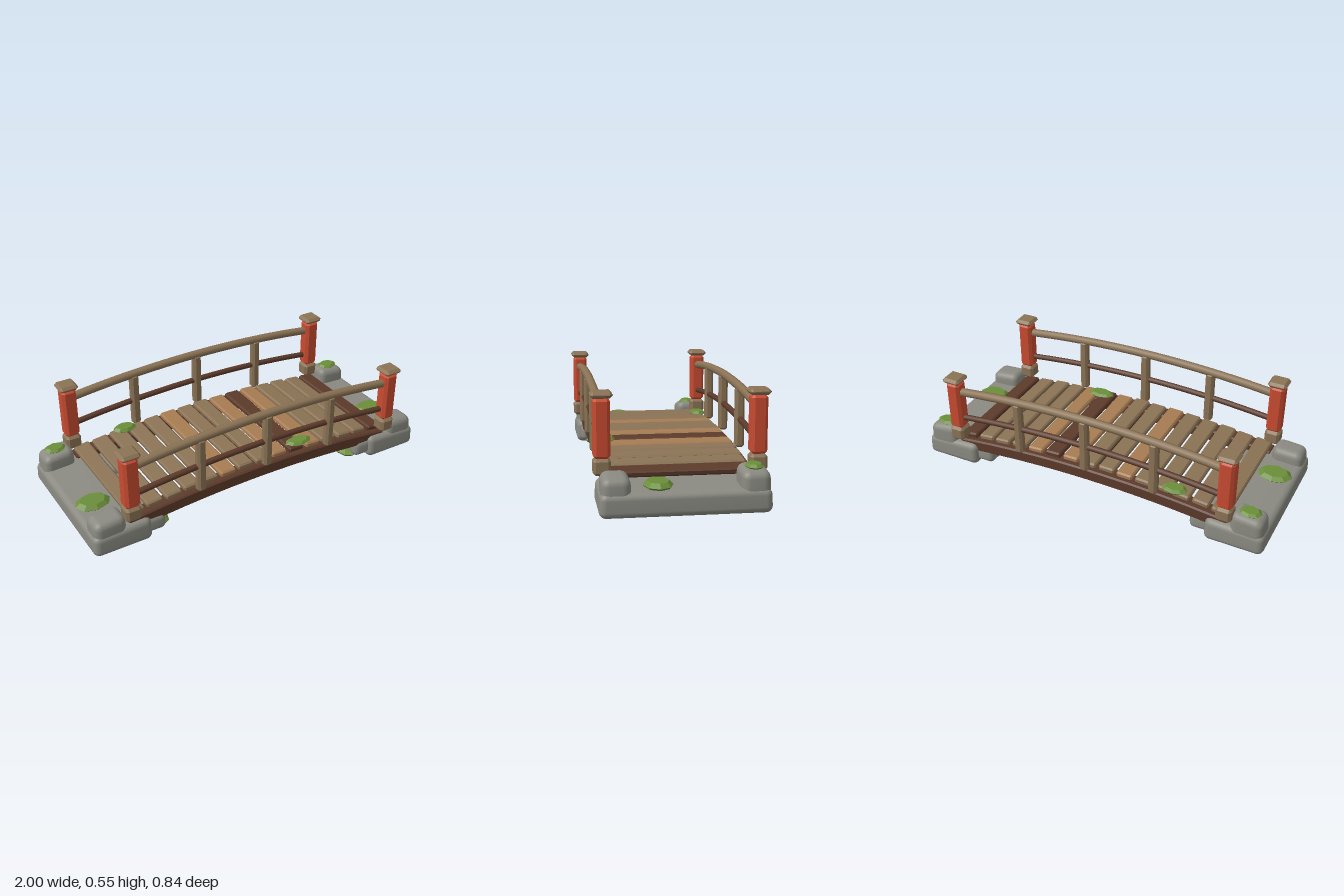
import * as THREE from 'three';
import { mergeVertices } from 'three/addons/utils/BufferGeometryUtils.js';
import { RoundedBoxGeometry } from 'three/addons/geometries/RoundedBoxGeometry.js';
import { ConvexGeometry } from 'three/addons/geometries/ConvexGeometry.js';

const material = (name, color) => {
  const m = new THREE.MeshStandardMaterial({ color });
  m.name = name;
  return m;
};

// Height of the shared arch curve, given its crown height
const arch = (x, crown) => crown - 0.08 * x * x;

// Box with every edge cut at 45 degrees
function chamferBox(w, h, d, c) {
  const points = [];
  for (const sx of [-1, 1]) for (const sy of [-1, 1]) for (const sz of [-1, 1]) {
    const [x, y, z] = [w / 2, h / 2, d / 2];
    points.push(
      new THREE.Vector3(sx * x, sy * (y - c), sz * (z - c)),
      new THREE.Vector3(sx * (x - c), sy * y, sz * (z - c)),
      new THREE.Vector3(sx * (x - c), sy * (y - c), sz * z));
  }
  return new ConvexGeometry(points);
}

// Smooth, slightly uneven stone block; slope lowers the top toward +x
function stoneBlock(w, h, d, r, slope, wobble) {
  let g = new RoundedBoxGeometry(w, h, d, 3, r);
  const p = g.attributes.position;
  for (let i = 0; i < p.count; i++) {
    const x = p.getX(i), y = p.getY(i), z = p.getZ(i);
    const up = y / h + 0.5;
    p.setXYZ(i, x * (1 - wobble * up), y - slope * up * (x / w + 0.5), z * (1 - wobble * up * 0.6));
  }
  g.deleteAttribute('normal');
  g.deleteAttribute('uv');
  g = mergeVertices(g, 1e-4);
  g.computeVertexNormals();
  return g;
}

// Low faceted pad of unit radius
function mossPad() {
  const profile = [[0, -1], [0.75, -1], [1, -0.1], [0.72, 1], [0, 1]].map(([x, y]) => new THREE.Vector2(x, y));
  const g = new THREE.LatheGeometry(profile, 8).toNonIndexed();
  g.computeVertexNormals();
  return g;
}

// Curved rail following the arch
function archRail(crown, radius, z) {
  const points = [];
  for (let i = 0; i <= 8; i++) {
    const x = -0.78 + (1.56 * i) / 8;
    points.push(new THREE.Vector3(x, arch(x, crown), z));
  }
  return new THREE.TubeGeometry(new THREE.CatmullRomCurve3(points), 24, radius, 8);
}

// Curved side beam
function archBeam(bottom, top, depth) {
  const shape = new THREE.Shape();
  const n = 16, bevel = 0.008;
  for (let i = 0; i <= n; i++) {
    const x = -0.79 + (1.58 * i) / n;
    if (i === 0) shape.moveTo(x, arch(x, bottom + bevel));
    else shape.lineTo(x, arch(x, bottom + bevel));
  }
  for (let i = n; i >= 0; i--) {
    const x = -0.79 + (1.58 * i) / n;
    shape.lineTo(x, arch(x, top - bevel));
  }
  const g = new THREE.ExtrudeGeometry(shape, {
    depth: depth - 2 * bevel, bevelEnabled: true, bevelSize: bevel, bevelThickness: bevel, bevelSegments: 1,
  });
  g.translate(0, 0, -depth / 2 + bevel);
  return g;
}

export function createModel() {
  const model = new THREE.Group();
  model.name = 'archedFootbridge';

  const wood = material('weathered wood', 0x8b7355);
  const tan = material('tan wood', 0xa67c52);
  const dark = material('dark wood', 0x5c3a2a);
  const red = material('red paint', 0xc84b31);
  const stone = material('grey stone', 0x8a8a82);
  const moss = material('green moss', 0x6b8e3a);

  const add = (name, geometry, mat, x, y, z) => {
    const mesh = new THREE.Mesh(geometry, mat);
    mesh.name = name;
    mesh.position.set(x, y, z);
    model.add(mesh);
    return mesh;
  };

  // Deck planks
  const tanPlanks = [5, 8, 10], darkPlanks = [11 - 2, 14];
  const lengths = [0.69, 0.68, 0.69, 0.68, 0.685];
  for (let i = 0; i < 15; i++) {
    const x = (i - 7) * 0.1065;
    const mat = darkPlanks.includes(i) ? dark : tanPlanks.includes(i) ? tan : wood;
    const plank = add('deckPlank', chamferBox(0.09, 0.032, lengths[i % 5], 0.008), mat, x, arch(x, 0.204), 0);
    plank.rotation.z = Math.atan(-0.16 * x);
  }

  // Cross beams under the deck
  for (const x of [-0.5, 0, 0.5]) {
    add('crossBeam', chamferBox(0.055, 0.05, 0.62, 0.008), dark, x, arch(x, 0.16), 0);
  }

  for (const s of [-1, 1]) {
    // Side beam, rails and balusters
    add('sideBeam', archBeam(0.12, 0.19, 0.085), dark, 0, 0, s * 0.325);
    add('handRail', archRail(0.508, 0.023, s * 0.372), wood, 0, 0, 0);
    add('lowerRail', archRail(0.345, 0.016, s * 0.372), dark, 0, 0, 0);
    for (const x of [-0.395, 0, 0.395]) {
      add('baluster', chamferBox(0.048, 0.31, 0.048, 0.012), wood, x, arch(x, 0.35), s * 0.372);
    }

    // Corner posts
    for (const x of [-0.785, 0.785]) {
      add('postBase', chamferBox(0.084, 0.08, 0.084, 0.014), wood, x, 0.2, s * 0.37);
      add('post', chamferBox(0.08, 0.285, 0.08, 0.015), red, x, 0.38, s * 0.37);
      add('postCap', chamferBox(0.104, 0.031, 0.104, 0.0135), wood, x, 0.537, s * 0.37);
    }
  }

  // Stone abutments, mirrored at both ends
  for (const s of [-1, 1]) {
    const turn = s < 0 ? Math.PI : 0;
    const slab = add('abutmentSlab', stoneBlock(0.32, 0.13, 0.8, 0.035, 0.015, 0.02), stone, s * 0.84, 0.067, 0);
    slab.rotation.y = turn;
    const rocks = [
      [0.9, 0.128, 0.32, 0.18, 0.135, 0.14, 0.012],
      [0.9, 0.142, -0.323, 0.18, 0.145, 0.14, 0.02],
    ];
    for (const [x, y, z, w, h, d, slope] of rocks) {
      const rock = add('cornerRock', stoneBlock(w, h, d, 0.04, slope, 0.08), stone, s * x, y, z);
      rock.rotation.y = turn;
    }
    // Footing stones along the inner face
    for (const [x, z, d] of [[0.655, 0.27, 0.22], [0.645, 0.03, 0.23], [0.65, -0.24, 0.26]]) {
      const foot = add('footingStone', stoneBlock(0.12, 0.09, d, 0.03, 0, 0.06), stone, s * x, 0.07, z);
      foot.rotation.y = turn;
    }
  }

  // Moss patches: x, y, z, then radii
  const pad = mossPad();
  const patches = [
    [-0.49, 0.205, -0.32, 0.07, 0.014, 0.045],
    [0.25, 0.217, 0.3, 0.08, 0.012, 0.045],
  ];
  for (const s of [-1, 1]) {
    patches.push(
      [s * 0.885, 0.132, 0.12, 0.095, 0.018, 0.072],
      [s * 0.9, 0.208, -0.325, 0.062, 0.012, 0.046],
      [s * 0.605, 0.03, 0.27, 0.06, 0.02, 0.085]);
  }
  for (const [x, y, z, rx, ry, rz] of patches) {
    add('mossPatch', pad, moss, x, y, z).scale.set(rx, ry, rz);
  }

  return model;
}
